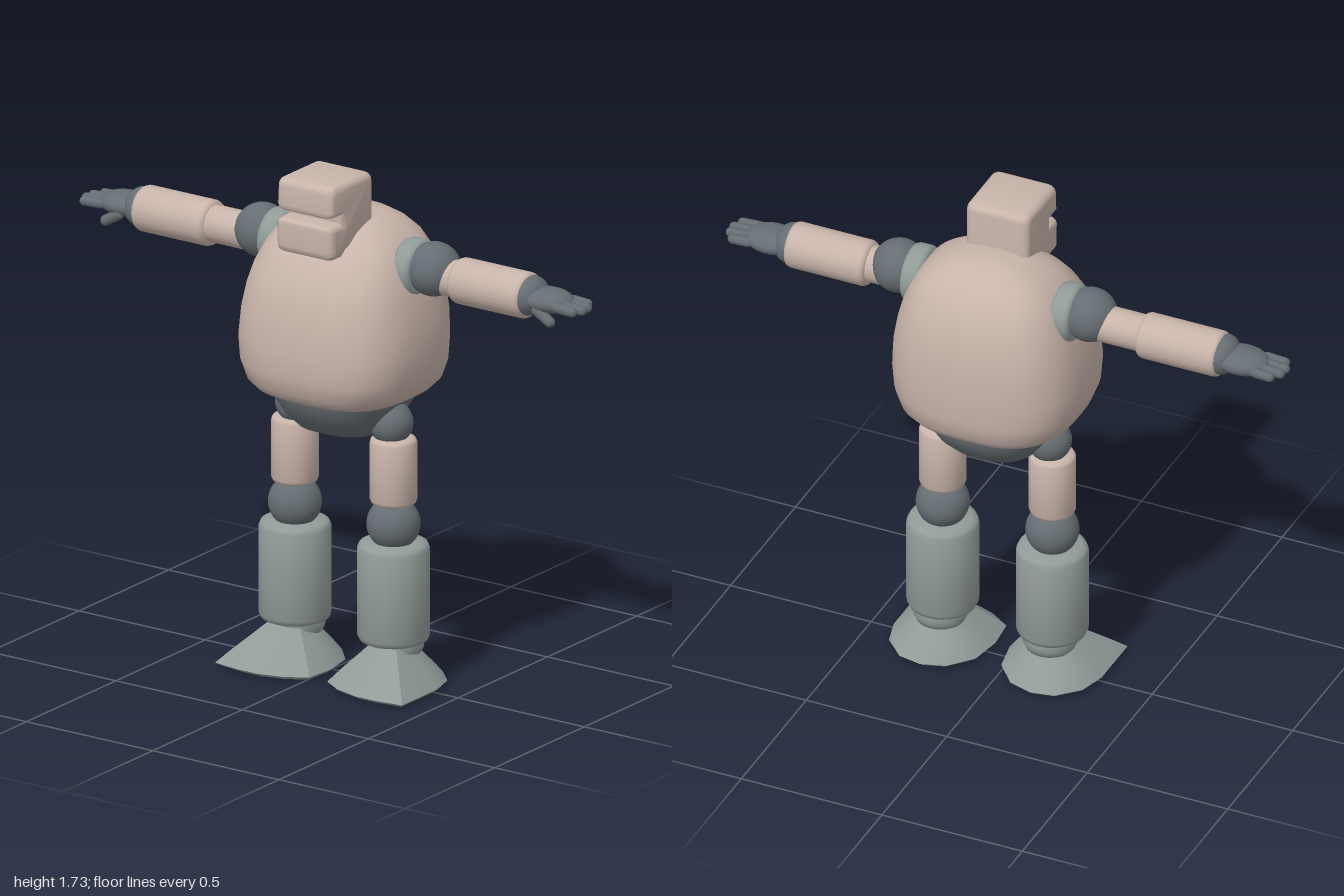
import * as THREE from 'three';
import { toCreasedNormals } from 'three/addons/utils/BufferGeometryUtils.js';

const mat = (name, color) => Object.assign(new THREE.MeshStandardMaterial({ color }), { name });
const CX = 0.05; // centre line of body and legs

// Skin over equal-length rings, ordered bottom to top
function loft(rings, crease) {
  const n = rings[0].length, pos = [], idx = [];
  rings.forEach(r => r.forEach(p => pos.push(...p)));
  for (let i = 0; i < rings.length - 1; i++) {
    for (let j = 0; j < n; j++) {
      const a = i * n + j, b = i * n + (j + 1) % n;
      idx.push(a, a + n, b, b, a + n, b + n);
    }
  }
  const g = new THREE.BufferGeometry();
  g.setAttribute('position', new THREE.Float32BufferAttribute(pos, 3));
  g.setIndex(idx);
  g.computeVertexNormals();
  return crease ? toCreasedNormals(g, crease) : g;
}

// Superellipse ring: height, half width, front z, back z
function ring([y, w, zf, zb], power, n = 48) {
  const out = [], s = v => Math.sign(v) * Math.abs(v) ** (2 / power);
  for (let j = 0; j < n; j++) {
    const t = j / n * Math.PI * 2;
    out.push([w * s(Math.cos(t)), y, (zf + zb) / 2 + (zf - zb) / 2 * s(Math.sin(t))]);
  }
  return out;
}

// Cylinder with rounded rims, standing on its origin
function roundCylinder(r, h, b) {
  const p = [[0, 0], [r - b, 0], [r - b * 0.3, b * 0.3], [r, b], [r, h - b], [r - b * 0.3, h - b * 0.3], [r - b, h], [0, h]];
  return toCreasedNormals(new THREE.LatheGeometry(p.map(q => new THREE.Vector2(...q)), 28), 0.8);
}

export function createModel() {
  const root = new THREE.Group();
  const tan = mat('warm tan shell', 0xc8b4aa);
  const dark = mat('dark joint grey', 0x666e73);
  const grey = mat('pale green grey', 0x919c99);
  const add = (parent, name, geo, m, x = 0, y = 0, z = 0) => {
    const mesh = new THREE.Mesh(geo, m);
    mesh.name = name;
    mesh.position.set(x, y, z);
    parent.add(mesh);
    return mesh;
  };
  const ball = r => new THREE.SphereGeometry(r, 28, 20);

  // Barrel torso
  const torso = [
    [0.975, 0.001, 0, -0.01], [0.975, 0.235, 0.22, -0.23], [0.99, 0.265, 0.25, -0.255],
    [1.02, 0.295, 0.275, -0.278], [1.08, 0.318, 0.288, -0.288], [1.16, 0.325, 0.29, -0.29],
    [1.25, 0.319, 0.28, -0.29], [1.33, 0.305, 0.262, -0.281], [1.4, 0.286, 0.235, -0.265],
    [1.46, 0.26, 0.197, -0.243], [1.51, 0.228, 0.155, -0.215], [1.55, 0.18, 0.105, -0.177],
    [1.578, 0.12, 0.05, -0.135], [1.592, 0.055, 0, -0.085], [1.595, 0.001, -0.04, -0.042]];
  add(root, 'torso', loft(torso.map(r => ring(r, 2.8)), 0.8), tan, CX);

  // Bowl-shaped pelvis
  const pelvis = [
    [0.84, 0.001, 0, -0.01], [0.84, 0.12, 0.09, -0.11], [0.855, 0.15, 0.13, -0.145],
    [0.9, 0.185, 0.175, -0.19], [0.95, 0.215, 0.207, -0.22], [0.98, 0.225, 0.215, -0.225]];
  add(root, 'pelvis', loft(pelvis.map(r => ring(r, 2.5)), 0.8), dark, CX);

  // Head: side profile with a mouth slot, extruded across
  const s = new THREE.Shape();
  s.moveTo(-0.01, 1.5);
  s.lineTo(0.14, 1.5);
  s.lineTo(0.165, 1.482);
  s.lineTo(0.2, 1.482);
  s.quadraticCurveTo(0.23, 1.482, 0.23, 1.51);
  s.lineTo(0.23, 1.58);
  s.quadraticCurveTo(0.23, 1.6, 0.215, 1.6);
  s.lineTo(0.17, 1.602);
  s.lineTo(0.17, 1.624);
  s.lineTo(0.215, 1.626);
  s.quadraticCurveTo(0.226, 1.628, 0.226, 1.645);
  s.lineTo(0.224, 1.705);
  s.quadraticCurveTo(0.222, 1.732, 0.195, 1.735);
  s.lineTo(0.02, 1.735);
  s.quadraticCurveTo(-0.008, 1.733, -0.01, 1.705);
  s.closePath();
  const head = new THREE.ExtrudeGeometry(s, {
    depth: 0.17, bevelThickness: 0.028, bevelSize: 0.024, bevelOffset: -0.024, bevelSegments: 4, curveSegments: 5
  });
  head.rotateY(-Math.PI / 2).translate(0.085 + CX, 0, 0);
  add(root, 'head', toCreasedNormals(head, 0.7), tan);

  // Foot outline (outer side +x) and its rising sections: height, scale
  const outline = [[0.175, 0.0], [0.175, 0.2], [0.08, 0.213], [0, 0.213], [-0.09, 0.19], [-0.16, 0.145],
    [-0.17, 0.04], [-0.15, -0.07], [-0.08, -0.15], [0, -0.175], [0.08, -0.16], [0.15, -0.09]];
  const sections = [[0.004, 0.001], [0.004, 0.9], [0.018, 1], [0.06, 0.79], [0.11, 0.52], [0.15, 0.31], [0.178, 0.2], [0.19, 0.09], [0.19, 0.001]];

  for (const side of [1, -1]) {
    const label = side > 0 ? 'left' : 'right';

    // Leg
    const leg = new THREE.Group();
    leg.name = label + 'Leg';
    leg.position.x = CX + side * 0.195;
    root.add(leg);
    add(leg, 'hipBall', ball(0.073), dark, -side * 0.01, 0.893);
    add(leg, 'thigh', roundCylinder(0.077, 0.225, 0.015), tan, 0, 0.62);
    add(leg, 'kneeBall', ball(0.088), dark, 0, 0.55);
    add(leg, 'shin', roundCylinder(0.118, 0.338, 0.022), grey, 0, 0.152);
    add(leg, 'ankle', roundCylinder(0.09, 0.09, 0.03), grey, 0, 0.1, -0.015);
    const rings = sections.map(([y, k]) => outline.map(([x, z]) => [side * x * k, y, z * k]));
    if (side < 0) rings.forEach(r => r.reverse());
    add(leg, 'foot', loft(rings, 0.6), grey);

    // Arm, laid out along +x and turned for the other side
    const arm = new THREE.Group();
    arm.name = label + 'Arm';
    root.add(arm);
    const sx = side > 0 ? 0.388 : 0.292; // shoulder distance
    add(arm, 'shoulderCollar', roundCylinder(0.098, 0.07, 0.015), grey, side * (sx - 0.04), 1.43, -0.025).rotation.z = side * Math.PI / 2;
    add(arm, 'shoulderBall', ball(0.09), dark, side * sx, 1.44, -0.025);
    add(arm, 'upperArm', roundCylinder(0.062, 0.52 - sx, 0.012), tan, side * sx, 1.422, -0.028).rotation.z = -side * Math.PI / 2;
    add(arm, 'forearm', roundCylinder(0.077, 0.285, 0.015), tan, side * 0.483, 1.42, -0.03).rotation.z = -side * Math.PI / 2;

    // Hand: wrist, flattened palm, fingers and thumb
    const wrist = add(arm, 'wrist', ball(1), dark, side * 0.768, 1.423, -0.03);
    wrist.scale.set(0.055, 0.066, 0.072);
    const palm = add(arm, 'palm', ball(1), dark, side * 0.835, 1.421, -0.032);
    palm.scale.set(0.095, 0.04, 0.072);
    [0.095, 0.11, 0.107, 0.085].forEach((len, i) => {
      const f = add(arm, 'finger', new THREE.CapsuleGeometry(0.0165, len - 0.03, 5, 10), dark,
        side * (0.889 + len / 2 - 0.004), 1.418, 0.018 - i * 0.033);
      f.rotation.z = side * (Math.PI / 2 - 0.05);
    });
    const thumb = add(arm, 'thumb', new THREE.CapsuleGeometry(0.018, 0.06, 5, 10), dark, side * 0.853, 1.383, 0.022);
    thumb.rotation.z = -side * 2.1;
  }
  return root;
}
